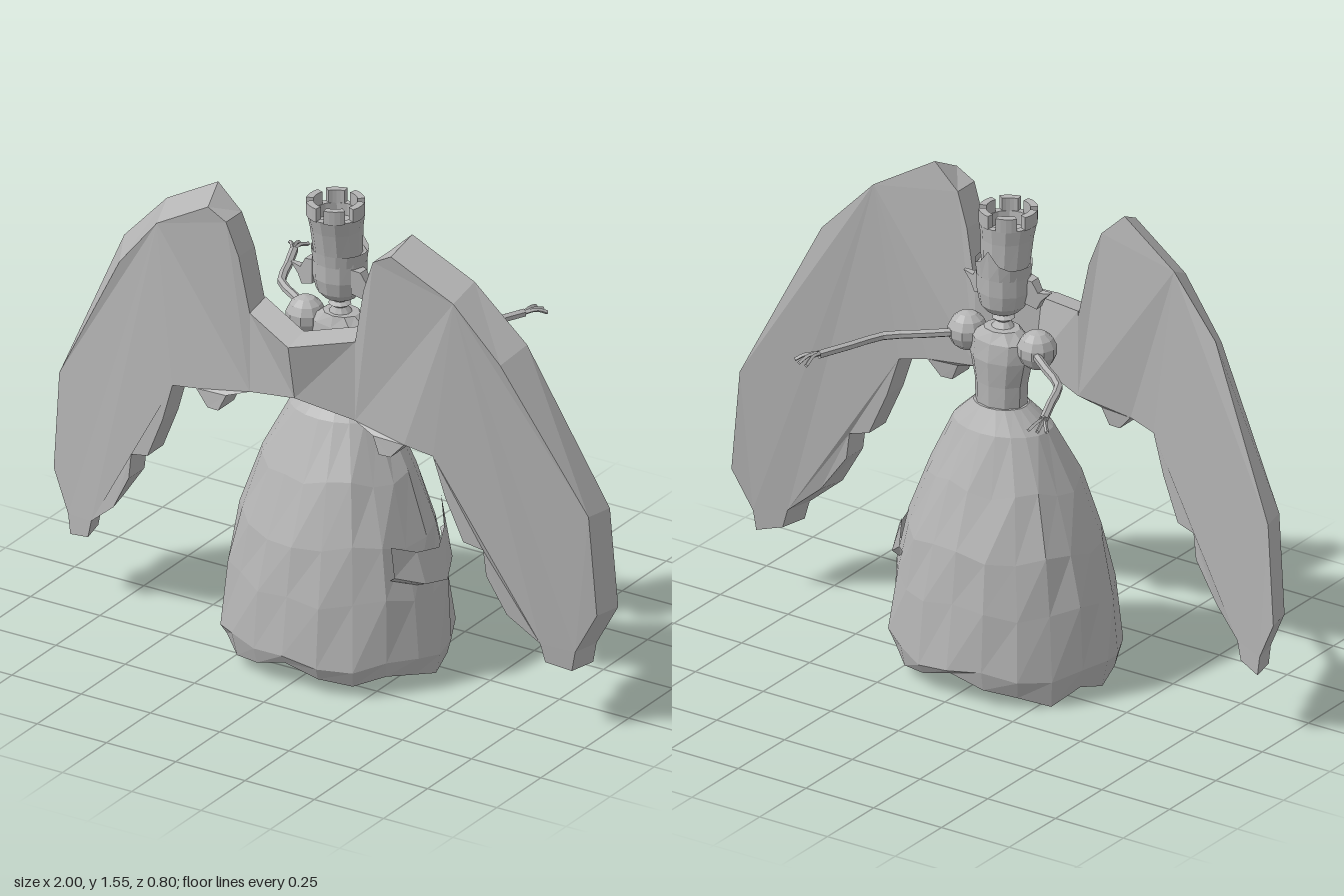
import * as THREE from 'three';

const stone = new THREE.MeshStandardMaterial({ color: 0xb4b4b4, flatShading: true, side: THREE.DoubleSide });
stone.name = 'stone grey';

function mesh(name, geo, parent) {
  const m = new THREE.Mesh(geo, stone);
  m.name = name;
  parent.add(m);
  return m;
}

// Skin elliptical rings [y, centreZ, radiusX, radiusZ]; tweak(point, angle, row, i) adjusts a vertex
function loft(rows, seg, tweak = () => {}) {
  const pos = [], idx = [];
  rows.forEach(([y, cz, rx, rz], r) => {
    for (let i = 0; i < seg; i++) {
      const a = (i / seg) * Math.PI * 2;
      const p = new THREE.Vector3(Math.sin(a) * rx, y, cz + Math.cos(a) * rz);
      tweak(p, a, r, i);
      pos.push(p.x, p.y, p.z);
      if (r === 0) continue;
      const j = (i + 1) % seg, lo = (r - 1) * seg, hi = r * seg;
      idx.push(lo + i, lo + j, hi + j, lo + i, hi + j, hi + i);
    }
  });
  const g = new THREE.BufferGeometry();
  g.setAttribute('position', new THREE.Float32BufferAttribute(pos, 3));
  g.setIndex(idx);
  g.computeVertexNormals();
  return g;
}

function tube(points, radius, sides) {
  const curve = new THREE.CatmullRomCurve3(points.map((p) => new THREE.Vector3(...p)));
  return new THREE.TubeGeometry(curve, 8, radius, sides);
}

// Slab with a given outline, whose z follows place(v, isFront)
function slab(outline, place) {
  const shape = new THREE.Shape(outline.map((p) => new THREE.Vector2(...p)));
  const g = new THREE.ExtrudeGeometry(shape, { depth: 1, bevelEnabled: false });
  const p = g.attributes.position, v = new THREE.Vector3();
  for (let i = 0; i < p.count; i++) {
    v.fromBufferAttribute(p, i);
    place(v, v.z > 0.5);
    p.setXYZ(i, v.x, v.y, v.z);
  }
  g.computeVertexNormals();
  return g;
}

const lerp = THREE.MathUtils.mapLinear;

function buildWing(parent) {
  const outline = [
    [0.19, 0.91], [0.265, 0.885], [0.29, 0.83], [0.33, 0.83], [0.375, 0.88], [0.47, 0.86],
    [0.51, 0.73], [0.57, 0.59], [0.635, 0.575], [0.645, 0.49], [0.73, 0.37], [0.83, 0.285],
    [0.845, 0.225], [0.925, 0.205], [0.935, 0.27], [1.0, 0.4], [0.975, 0.73], [0.727, 1.25],
    [0.555, 1.43], [0.35, 1.55], [0.265, 1.47], [0.225, 1.36], [0.19, 1.175],
  ];
  mesh('wing', slab(outline, (v, front) => {
    const x = v.x;
    v.z = x < 0.3 ? lerp(x, 0.19, 0.3, 0.28, 0.305)
      : x < 0.72 ? lerp(x, 0.3, 0.72, 0.305, 0.24) : lerp(x, 0.72, 1, 0.24, 0.15);
    if (!front) v.z -= 0.09;
    else {
      if (x > 0.7) v.x -= 0.02;
      if (v.y > 1.2 && x > 0.3) { v.y -= 0.045; v.x -= 0.02; }
    }
  }), parent);

  // Panel that joins the wing to its twin behind the back
  mesh('wingRoot', slab([[0, 0.955], [0.19, 0.91], [0.19, 1.175], [0, 1.14]], (v, front) => {
    v.z = v.x > 0.1 ? 0.28 : v.y > 1 ? 0.362 : 0.325;
    if (!front) { v.z -= 0.09; if (v.y > 1) v.y += 0.02; }
  }), parent);
}

function buildArm(parent) {
  const ball = mesh('shoulderPuff', new THREE.SphereGeometry(0.063, 10, 7), parent);
  ball.position.set(0.128, 1.1, 0.06);
  mesh('arm', tube([[0.14, 1.1, 0.03], [0.24, 1.095, -0.045], [0.32, 1.092, -0.105],
    [0.37, 1.09, -0.22], [0.415, 1.088, -0.325]], 0.014, 6), parent);
  for (const [x, z] of [[0.41, -0.4], [0.44, -0.395], [0.465, -0.38]]) {
    mesh('finger', tube([[0.413, 1.088, -0.315], [x * 0.5 + 0.21, 1.093, -0.355], [x, 1.08, z]], 0.0065, 4), parent);
  }
}

function buildEar(parent) {
  const ear = [[0.07, 1.24], [0.115, 1.225], [0.13, 1.255], [0.16, 1.285], [0.12, 1.28], [0.1, 1.315], [0.07, 1.32]];
  mesh('ear', slab(ear, (v, front) => {
    v.z = 0.09 + (front ? 1 : -1) * lerp(v.x, 0.07, 0.16, 0.024, 0.006);
  }), parent);
}

function buildSkirt(parent) {
  // Rows run from the hollow underside, out to the hem, and up to the waist
  const rows = [
    [0.13, 0.08, 0, 0], [0.065, 0.08, 0.355, 0.3], [0.1, 0.08, 0.37, 0.32], [0.3, 0.078, 0.35, 0.295],
    [0.47, 0.075, 0.315, 0.265], [0.66, 0.075, 0.25, 0.2], [0.83, 0.065, 0.165, 0.125],
    [0.9, 0.055, 0.09, 0.075], [0.905, 0.055, 0, 0],
  ];
  mesh('skirt', loft(rows, 20, (p, a, r, i) => {
    if (r === 1) {
      p.y += 0.02 * Math.cos(6 * a) - 0.025 * Math.abs(Math.sin(a));
      if (i === 13) p.y = 0;
    }
    if (r > 1 && r < 6) {
      const k = 1 + 0.018 * Math.sin(i * 2.4 + r * 1.9);
      p.x *= k;
      p.z = 0.08 + (p.z - 0.08) * k;
      p.y += 0.015 * Math.sin(i * 1.7 + r);
    }
  }), parent);

  // Overlapping fold on the left hip
  const path = [[0.25, 0.41, -0.13], [0.31, 0.35, -0.06], [0.36, 0.33, 0.05], [0.345, 0.35, 0.15], [0.3, 0.385, 0.23]];
  const g = new THREE.PlaneGeometry(1, 1, 4, 2);
  path.forEach(([x, y, z], i) => {
    const out = i === 0 || i === 4 ? 1 : 1.05;
    g.attributes.position.setXYZ(4 - i, x * 0.96, y + 0.1, z);
    g.attributes.position.setXYZ(9 - i, x * out, y, z);
    g.attributes.position.setXYZ(14 - i, x * 0.95, y - 0.012, z);
  });
  g.computeVertexNormals();
  mesh('skirtFold', g, parent);
}

function buildHead(parent) {
  mesh('neck', loft([[1.13, 0.06, 0.05, 0.045], [1.165, 0.065, 0.022, 0.022], [1.175, 0.067, 0.036, 0.036],
    [1.185, 0.067, 0.022, 0.022], [1.23, 0.07, 0.022, 0.022]], 10), parent);
  mesh('head', loft([[1.185, 0.065, 0, 0], [1.2, 0.065, 0.05, 0.05], [1.225, 0.066, 0.075, 0.072],
    [1.27, 0.068, 0.085, 0.08], [1.35, 0.068, 0.087, 0.08], [1.37, 0.07, 0, 0]], 12), parent);

  // Headband rising to a point over the brow
  mesh('headband', loft([[1.325, 0.068, 0.086, 0.081], [1.365, 0.068, 0.091, 0.086]], 16, (p, a, r, i) => {
    if (r === 1 && i === 8) p.y = 1.425;
    if (r === 1 && (i === 7 || i === 9)) p.y = 1.38;
  }), parent);

  // Tower crown with a hollow top and six merlons
  mesh('crown', loft([[1.34, 0.076, 0.075, 0.073], [1.44, 0.086, 0.082, 0.082], [1.49, 0.091, 0.09, 0.09],
    [1.49, 0.091, 0.068, 0.068], [1.45, 0.088, 0.065, 0.065], [1.45, 0.088, 0, 0]], 12), parent);
  for (let i = 0; i < 6; i++) {
    const a = (i / 6) * Math.PI * 2, half = 0.37;
    const arc = new THREE.Shape();
    arc.absarc(0, 0, 0.091, a - half, a + half, false);
    arc.absarc(0, 0, 0.068, a + half, a - half, true);
    const m = mesh('merlon', new THREE.ExtrudeGeometry(arc, { depth: 0.045, bevelEnabled: false, curveSegments: 2 }), parent);
    m.rotation.x = -Math.PI / 2;
    m.position.set(0, 1.487, 0.092);
  }
}

export function createModel() {
  const model = new THREE.Group();
  model.name = 'wingedFigure';

  buildSkirt(model);
  mesh('torso', loft([[0.89, 0.055, 0.085, 0.07], [0.97, 0.055, 0.088, 0.07], [1.05, 0.055, 0.105, 0.075],
    [1.11, 0.055, 0.105, 0.065], [1.145, 0.058, 0.06, 0.05], [1.15, 0.06, 0, 0]], 10), model);
  buildHead(model);

  // Paired parts
  for (const side of [1, -1]) {
    const half = new THREE.Group();
    half.name = side > 0 ? 'leftSide' : 'rightSide';
    buildWing(half);
    buildArm(half);
    buildEar(half);
    half.scale.x = side;
    model.add(half);
  }
  return model;
}
